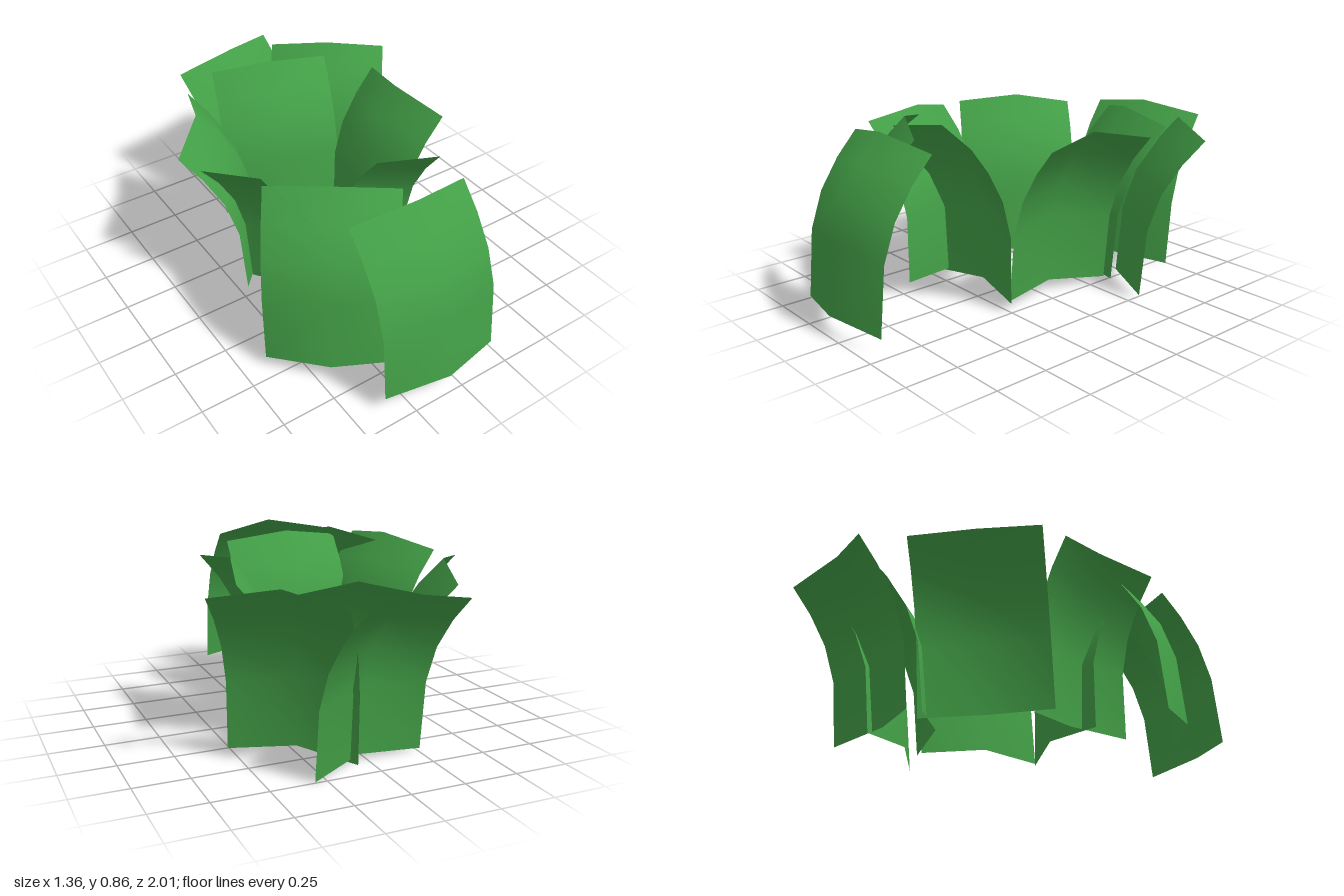
import * as THREE from 'three';

// Cross-sections of one leaf from bottom to top: [ridge z, ridge y, edge z, edge y]
const SECTIONS = [
  [0, 0.05, -0.071, 0.029],
  [-0.015, 0.38, -0.087, 0.345],
  [-0.067, 0.563, -0.139, 0.517],
  [-0.151, 0.698, -0.223, 0.658],
  [-0.256, 0.82, -0.318, 0.773],
];
const HALF_WIDTH = 0.292;

// Each leaf: foot of the ridge (x, z) and the heading its convex side faces
const LEAVES = [
  ['frontLeaf', -0.07, 1.0, 0],
  ['frontRightLeaf', -0.455, 0.665, -0.663],
  ['innerFrontLeaf', -0.045, 0.182, Math.PI],
  ['rightLeaf', -0.255, 0.173, 1.865],
  ['backRightLeaf', -0.26, -0.235, 1.03],
  ['leftLeaf', 0.162, -0.055, -1.613],
  ['innerBackLeaf', -0.01, -0.375, -0.326],
  ['backLeftLeaf', 0.25, -0.425, -0.675],
  ['backLeaf', 0.035, -0.605, 0.241],
];

// Curved sheet folded along its middle ridge
function leafGeometry() {
  const positions = [];
  const index = [];
  SECTIONS.forEach(([rz, ry, ez, ey], row) => {
    positions.push(-HALF_WIDTH, ey, ez, 0, ry, rz, HALF_WIDTH, ey, ez);
    if (row === 0) return;
    for (let col = 0; col < 2; col++) {
      const a = (row - 1) * 3 + col;
      const d = a + 3;
      index.push(a, a + 1, d + 1, a, d + 1, d);
    }
  });
  const geometry = new THREE.BufferGeometry();
  geometry.setAttribute('position', new THREE.Float32BufferAttribute(positions, 3));
  geometry.setIndex(index);
  geometry.computeVertexNormals();
  return geometry;
}

export function createModel() {
  const green = new THREE.MeshStandardMaterial({ color: 0x43a047, side: THREE.DoubleSide });
  green.name = 'leaf green';
  const geometry = leafGeometry();

  // The whole clump leans slightly backwards
  const clump = new THREE.Group();
  clump.name = 'leafClump';
  clump.rotation.x = -0.045;
  for (const [name, x, z, heading] of LEAVES) {
    const leaf = new THREE.Mesh(geometry, green);
    leaf.name = name;
    leaf.position.set(x, 0, z);
    leaf.rotation.y = heading;
    clump.add(leaf);
  }

  const model = new THREE.Group();
  model.name = 'leafyPlant';
  model.add(clump);
  return model;
}
